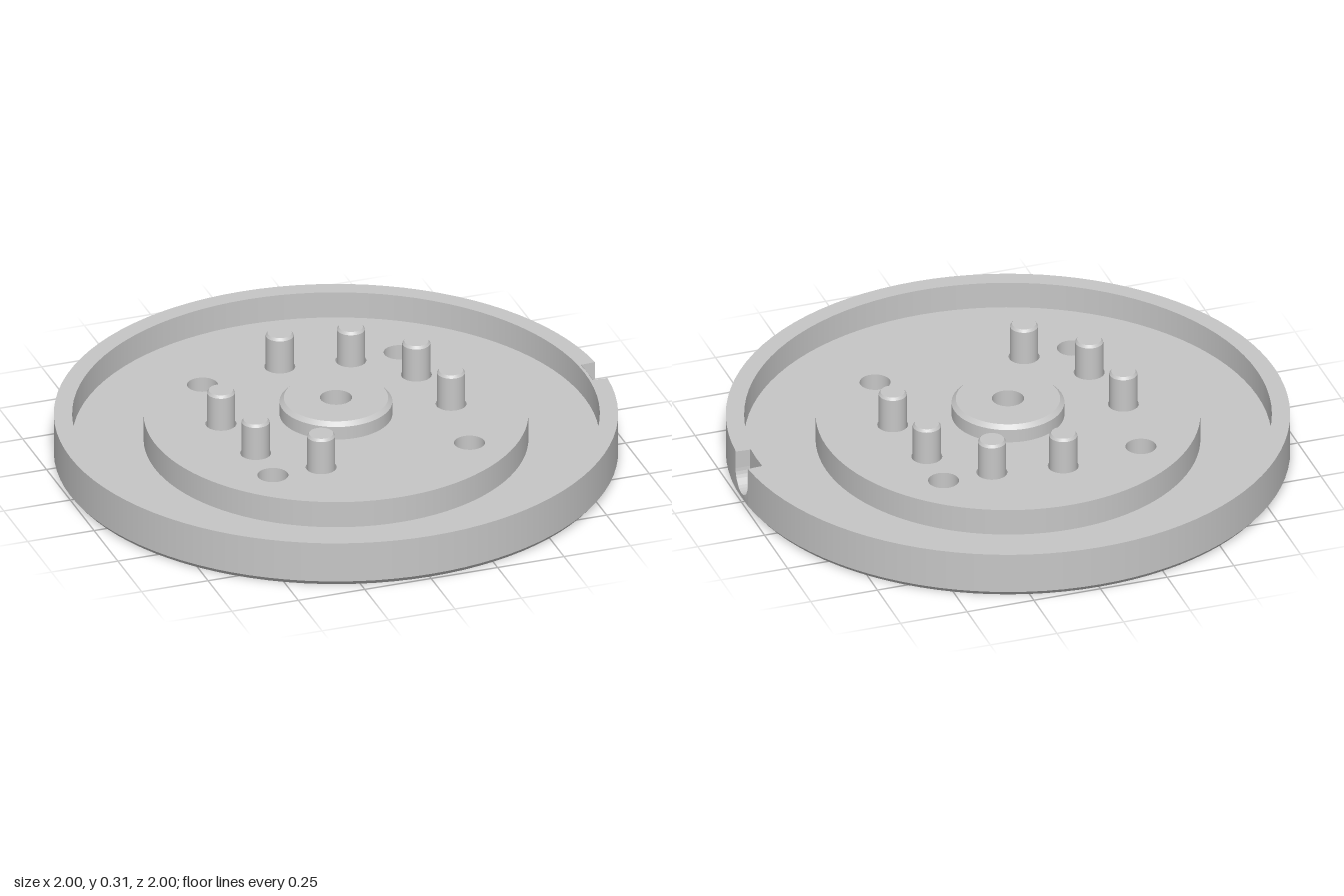
import * as THREE from 'three';
import { mergeGeometries } from 'three/addons/utils/BufferGeometryUtils.js';

const steel = new THREE.MeshStandardMaterial({ color: 0xc6c6c6, side: THREE.DoubleSide });
steel.name = 'light grey steel';

const TOP = 0.17;                // rim and plateau height
const FLOOR = 0.07;              // channel floor and centre recess ceiling
const STEP = (Math.PI * 2) / 96; // one facet of the large turned parts
const NOTCH = Math.sin(STEP);    // half width of the rim notch, two facets wide
const NOTCH_Y = 0.102;           // centre of the notch's round bottom

const segments = (r) => (r > 0.15 ? 96 : 32);

// Revolved profile with a hard edge at every point
function turned(points, segs, start = 0, length = Math.PI * 2) {
  const parts = [];
  for (let i = 0; i < points.length - 1; i++) {
    const pair = [points[i], points[i + 1]].map(([r, y]) => new THREE.Vector2(r, y));
    parts.push(new THREE.LatheGeometry(pair, segs, start, length));
  }
  return mergeGeometries(parts);
}

function circle(Type, x, y, r, n = segments(r), turn = 0) {
  const pts = [];
  for (let i = 0; i < n; i++) {
    const a = (i / n) * Math.PI * 2 + turn;
    pts.push(new THREE.Vector2(x + r * Math.cos(a), y + r * Math.sin(a)));
  }
  return new Type(pts);
}

// Flat horizontal disc with round holes given as [x, z, r]
function piercedDisc(radius, holes, y, up) {
  const shape = circle(THREE.Shape, 0, 0, radius);
  for (const [x, z, r] of holes) shape.holes.push(circle(THREE.Path, x, up ? -z : z, r));
  return new THREE.ShapeGeometry(shape).rotateX(up ? -Math.PI / 2 : Math.PI / 2).translate(0, y, 0);
}

// U-shaped outline of the notch, from its +side top to its -side top
function notchPoints() {
  const pts = [[NOTCH, TOP]];
  for (let i = 0; i <= 16; i++) {
    const a = (i / 16) * Math.PI;
    pts.push([NOTCH * Math.cos(a), NOTCH_Y - NOTCH * Math.sin(a)]);
  }
  pts.push([-NOTCH, TOP]);
  return pts.map(([x, y]) => new THREE.Vector2(x, y));
}

export function createModel() {
  const model = new THREE.Group();
  const add = (name, geometry, parent = model) => {
    const mesh = new THREE.Mesh(geometry, steel);
    mesh.name = name;
    parent.add(mesh);
  };

  // Hole positions: bolts on a ten-step circle, three places left empty
  const bolts = [9, -27, -63, -99, -171, 153, 117].map((deg) => {
    const a = THREE.MathUtils.degToRad(deg);
    return [0.415 * Math.cos(a), 0.415 * Math.sin(a)];
  });
  const corners = [[1, 1], [1, -1], [-1, 1], [-1, -1]].map(([x, z]) => [x * 0.37, z * 0.37]);
  const blind = [0, 0.525];
  const sized = (list, r) => list.map(([x, z]) => [x, z, r]);

  // Disc faces
  add('bottomFace', piercedDisc(0.985,
    [[0, 0, 0.21], [...blind, 0.1], ...sized(bolts, 0.1), ...sized(corners, 0.055)], 0, false));
  add('plateauTop', piercedDisc(0.682,
    [[0, 0, 0.2], ...sized(bolts, 0.055), ...sized(corners, 0.055)], TOP, true));

  // Rim, channel and plateau wall; the outer wall leaves a gap for the notch
  add('bottomChamfer', turned([[0.985, 0], [1, 0.018]], 96));
  add('outerRim', turned([[1, 0.018], [1, TOP], [0.945, TOP]], 94,
    Math.PI / 2 + STEP, Math.PI * 2 - 2 * STEP));
  add('channel', turned([[0.945, TOP], [0.935, TOP], [0.935, FLOOR], [0.682, FLOOR], [0.682, TOP]], 96));

  // Notch: outer skin below it, its back plate, and its floor and sides
  const u = notchPoints();
  const skin = new THREE.ShapeGeometry(new THREE.Shape([
    new THREE.Vector2(-NOTCH, 0.018), new THREE.Vector2(NOTCH, 0.018), ...u.slice(1, -1)]));
  skin.rotateY(Math.PI / 2);
  const p = skin.attributes.position;
  for (let i = 0; i < p.count; i++) p.setX(i, Math.sqrt(1 - p.getZ(i) ** 2));
  skin.computeVertexNormals();
  add('notchSkin', skin);
  add('notchBack', new THREE.ShapeGeometry(new THREE.Shape(u)).rotateY(Math.PI / 2)
    .translate(0.945, 0, 0));
  const wall = [];
  for (let i = 0; i < u.length - 1; i++) {
    const a = u[i], b = u[i + 1];
    const strip = new THREE.PlaneGeometry(0.054, a.distanceTo(b)).rotateX(-Math.PI / 2);
    strip.rotateX(Math.PI - Math.atan2(b.y - a.y, b.x - a.x));
    strip.translate(0.972, (a.y + b.y) / 2, (a.x + b.x) / 2);
    wall.push(strip);
  }
  add('notchWall', mergeGeometries(wall));

  // Central hub with its bore and the recess beneath
  add('hub', turned([[0.2, TOP], [0.2, 0.22], [0.185, 0.235], [0.057, 0.235], [0.057, FLOOR],
    [0.2, FLOOR], [0.2, 0.012], [0.21, 0]], 96));

  // Through holes and the blind hole
  for (const [x, z] of corners) {
    add('cornerHole', turned([[0.055, TOP], [0.055, 0]], 32).translate(x, 0, z));
  }
  add('blindHole', turned([[0, 0.12], [0.085, 0.12], [0.085, 0.012], [0.1, 0]], 32)
    .translate(blind[0], 0, blind[1]));

  // Socket-head bolts in counterbored holes
  const bore = turned([[0.055, TOP], [0.055, 0.1], [0.09, 0.1], [0.09, 0.012], [0.1, 0]], 32);
  const shaft = turned([[0, 0.08], [0.083, 0.08], [0.083, 0.09], [0.05, 0.09], [0.05, 0.295],
    [0.043, 0.305], [0, 0.305]], 32);
  const headShape = circle(THREE.Shape, 0, 0, 0.083);
  headShape.holes.push(circle(THREE.Path, 0, 0, 0.048, 6, Math.PI / 6));
  const head = new THREE.ExtrudeGeometry(headShape, { depth: 0.055, bevelEnabled: false })
    .rotateX(-Math.PI / 2).translate(0, 0.025, 0);
  for (const [x, z] of bolts) {
    const bolt = new THREE.Group();
    bolt.name = 'bolt';
    bolt.position.set(x, 0, z);
    add('boltBore', bore, bolt);
    add('boltShaft', shaft, bolt);
    add('boltHead', head, bolt);
    model.add(bolt);
  }
  return model;
}
